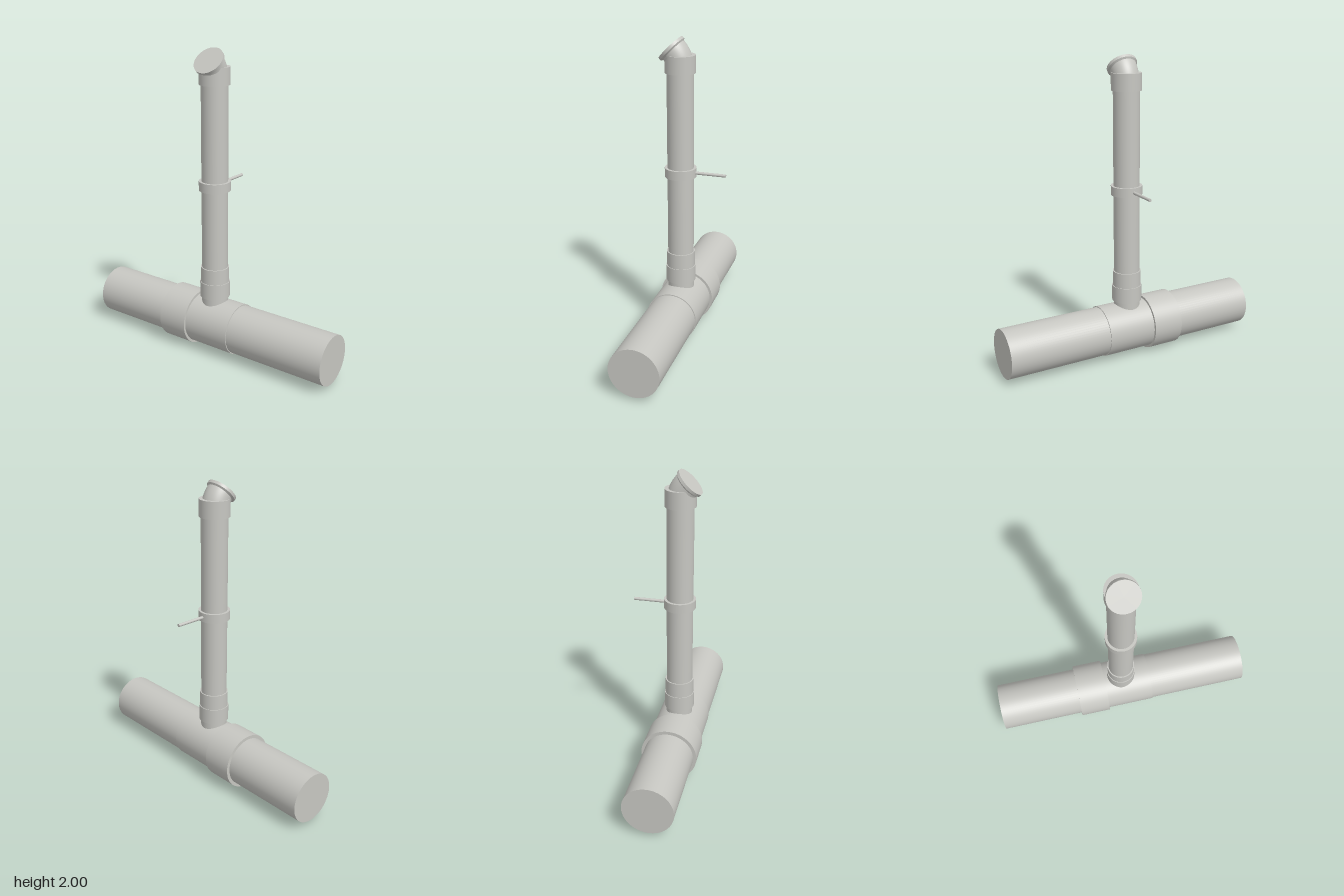
import * as THREE from 'three';

export function createModel() {
  const model = new THREE.Group();
  const plastic = new THREE.MeshStandardMaterial({ color: 0xc6c6c1 });
  plastic.name = 'pipeGrey';

  const AXIS_Z = 0.06;  // depth of the pipe axes
  const MAIN_Y = 0.186; // height of the horizontal pipe axis

  function add(name, geometry) {
    const mesh = new THREE.Mesh(geometry, plastic);
    mesh.name = name;
    model.add(mesh);
    return mesh;
  }
  // Closed cylinder along x, from x0 to x1
  function horizontal(name, r, x0, x1) {
    const mesh = add(name, new THREE.CylinderGeometry(r, r, x1 - x0, 64));
    mesh.rotation.z = -Math.PI / 2;
    mesh.position.set((x0 + x1) / 2, MAIN_Y, AXIS_Z);
  }
  // Closed cylinder along y, from y0 to y1
  function vertical(name, r, y0, y1) {
    const mesh = add(name, new THREE.CylinderGeometry(r, r, y1 - y0, 48));
    mesh.position.set(0, (y0 + y1) / 2, AXIS_Z);
  }

  // Horizontal run with its tee fitting
  horizontal('mainPipe', 0.162, -0.892, 0.89);
  horizontal('teeSleeve', 0.168, -0.13, 0.205);
  horizontal('teeCollar', 0.184, -0.328, -0.122);

  // Upright branch
  vertical('branchNeck', 0.087, 0.2, 0.4);
  vertical('lowerSocket', 0.098, 0.38, 0.485);
  vertical('upperSocket', 0.093, 0.485, 0.587);
  vertical('riserPipe', 0.085, 0.4, 1.81);
  vertical('clampRing', 0.102, 1.11, 1.17);
  vertical('elbowSocket', 0.097, 1.78, 1.89);

  // Wall rod on the back of the clamp
  const rod = add('wallRod', new THREE.CylinderGeometry(0.01, 0.01, 0.205, 20));
  rod.rotation.x = Math.PI / 2;
  rod.position.set(0, 1.14, -0.1375);

  // 45 degree elbow turning towards the front
  const bend = 0.164, startY = 1.805;
  const path = new THREE.CatmullRomCurve3(Array.from({ length: 9 }, (_, i) => {
    const a = (i / 8) * Math.PI / 4;
    return new THREE.Vector3(0, startY + bend * Math.sin(a), AXIS_Z + bend * (1 - Math.cos(a)));
  }));
  add('elbow', new THREE.TubeGeometry(path, 16, 0.086, 48, false));

  // Flanged end cap, with a chamfered back edge
  const profile = [[0, -0.028], [0.086, -0.028], [0.086, -0.028], [0.098, -0.018],
    [0.098, -0.018], [0.098, 0], [0.098, 0], [0, 0]];
  const cap = add('endCap', new THREE.LatheGeometry(profile.map(([r, y]) => new THREE.Vector2(r, y)), 48));
  cap.rotation.x = Math.PI / 4;
  cap.position.set(0, 1.932, 0.122);

  return model;
}
